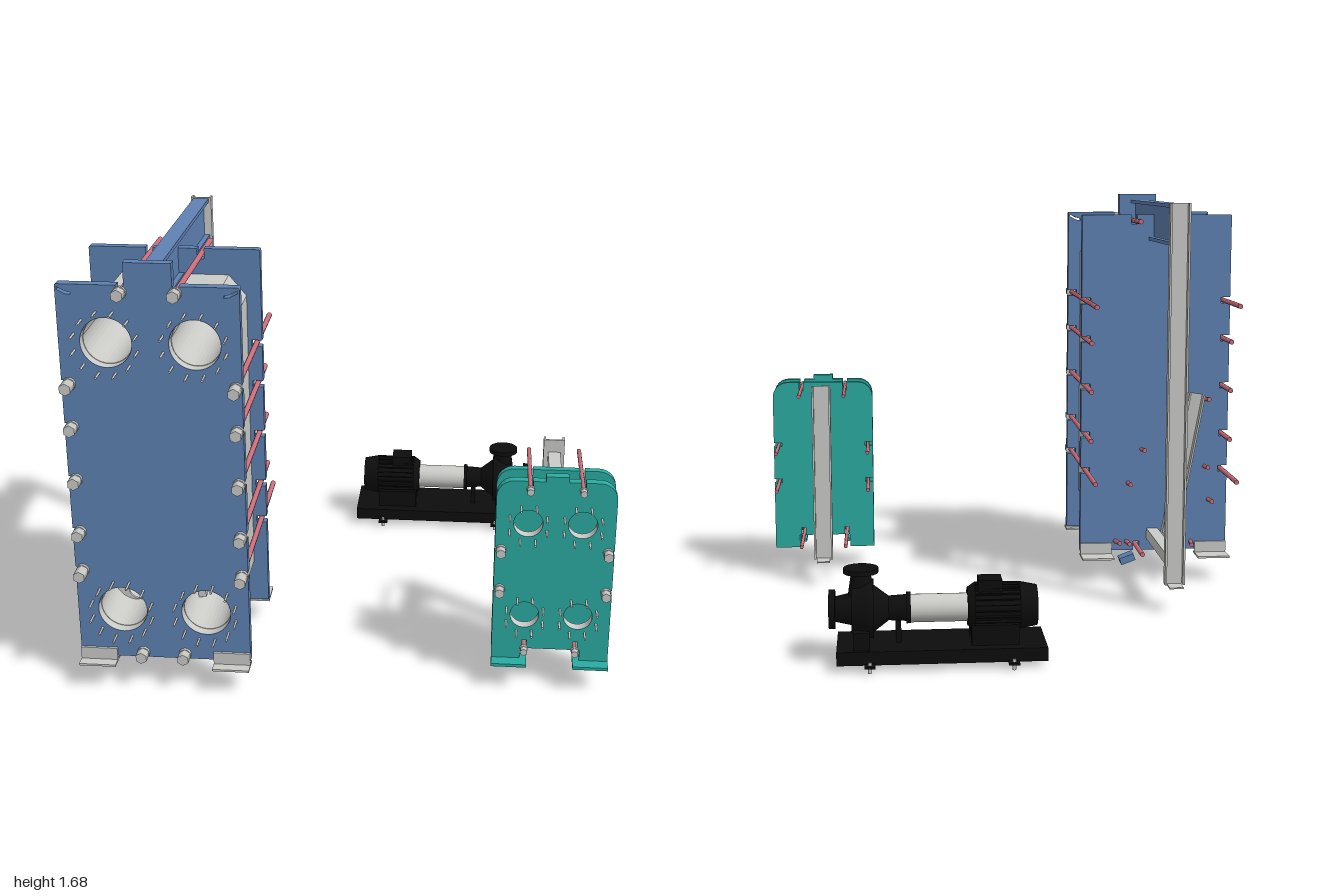
import * as THREE from 'three';

const mat = (name, color, side = THREE.FrontSide) => {
  const m = new THREE.MeshStandardMaterial({ color, side });
  m.name = name;
  return m;
};

export function createModel() {
  const root = new THREE.Group();
  root.name = 'heatExchangersAndPump';
  const blue = mat('blue paint', 0x5f82b4);
  const teal = mat('teal paint', 0x2aaca2);
  const gray = mat('light steel', 0xcbcbc8, THREE.DoubleSide);
  const red = mat('red tie rod', 0xcc6f7b);
  const black = mat('black cast iron', 0x0d0d0e);
  let group = root;

  const add = (name, geo, m, x = 0, y = 0, z = 0) => {
    const mesh = new THREE.Mesh(geo, m);
    mesh.name = name;
    mesh.position.set(x, y, z);
    group.add(mesh);
    return mesh;
  };
  const start = (name) => {
    group = new THREE.Group();
    group.name = name;
    root.add(group);
  };
  // box given by its limits on each axis
  const box = (name, m, x0, x1, y0, y1, z0, z1) =>
    add(name, new THREE.BoxGeometry(x1 - x0, y1 - y0, z1 - z0), m, (x0 + x1) / 2, (y0 + y1) / 2, (z0 + z1) / 2);
  const rodZ = (name, m, x, y, z0, z1, r, sides = 10) =>
    add(name, new THREE.CylinderGeometry(r, r, z1 - z0, sides).rotateX(Math.PI / 2), m, x, y, (z0 + z1) / 2);
  const rodX = (name, m, x0, x1, y, z, r0, r1 = r0, sides = 32) =>
    add(name, new THREE.CylinderGeometry(r1, r0, x1 - x0, sides).rotateZ(-Math.PI / 2), m, (x0 + x1) / 2, y, z);
  const extrude = (name, m, shape, z0, z1) =>
    add(name, new THREE.ExtrudeGeometry(shape, { depth: z1 - z0, bevelEnabled: false, curveSegments: 20 }), m, 0, 0, z0);
  const hole = (x, y, r) => new THREE.Path().absarc(x, y, r, 0, Math.PI * 2, true);

  // plate outline with open bolt slots along its edges
  const slotted = (x0, x1, y0, y1, sideYs, topXs, botXs, w, d, r) => {
    const p = [];
    const corner = (cx, cy, a) => {
      for (let i = 0; i <= 6; i++) {
        const t = a + (i / 6) * Math.PI / 2;
        p.push([cx + r * Math.cos(t), cy + r * Math.sin(t)]);
      }
    };
    p.push([x0, y0]);
    for (const x of botXs) p.push([x - w, y0], [x - w, y0 + d], [x + w, y0 + d], [x + w, y0]);
    p.push([x1, y0]);
    const ys = [...sideYs].sort((a, b) => a - b);
    for (const y of ys) p.push([x1, y - w], [x1 - d, y - w], [x1 - d, y + w], [x1, y + w]);
    corner(x1 - r, y1 - r, 0);
    for (const x of [...topXs].reverse()) p.push([x + w, y1], [x + w, y1 - d], [x - w, y1 - d], [x - w, y1]);
    corner(x0 + r, y1 - r, Math.PI / 2);
    for (const y of ys.reverse()) p.push([x0, y + w], [x0 + d, y + w], [x0 + d, y - w], [x0, y - w]);
    return new THREE.Shape(p.map(([x, y]) => new THREE.Vector2(x, y)));
  };
  // lined port with a ring of studs
  const port = (x, y, r, zBack, zFront, studR, count, zStud) => {
    add('portLiner', new THREE.CylinderGeometry(r, r, zFront - zBack, 32, 1, true).rotateX(Math.PI / 2), gray, x, y, (zBack + zFront) / 2);
    for (let i = 0; i < count; i++) {
      const a = ((i + 0.5) / count) * Math.PI * 2;
      rodZ('portStud', gray, x + studR * Math.cos(a), y + studR * Math.sin(a), zFront, zStud, 0.0045, 6);
    }
  };
  // rod, washer and hex nut
  const tie = (x, y, zBack, zPlate, zNut, r, nutR) => {
    rodZ('tieRod', red, x, y, zBack, zPlate + 0.015, r);
    rodZ('washer', gray, x, y, zPlate, zPlate + 0.012, nutR * 1.05, 16);
    rodZ('hexNut', gray, x, y, zPlate + 0.012, zNut, nutR, 6);
  };
  // channel column open to the back, with a foot
  const column = (x, w, y0, y1, z0, z1) => {
    box('columnWeb', gray, x - w / 2, x + w / 2, y0, y1, z1 - 0.008, z1);
    for (const s of [-1, 1]) {
      const c = x + s * (w / 2 - 0.004);
      box('columnFlange', gray, c - 0.004, c + 0.004, y0, y1, z0, z1 - 0.008);
    }
    box('columnFoot', gray, x - w * 0.35, x + w * 0.35, y0 - 0.006, y0, z0 - 0.04, z1);
  };

  // ---- Large heat exchanger ----
  start('largeHeatExchanger');
  const bigPorts = [[-0.83, 1.388], [-0.513, 1.388], [-0.83, 0.326], [-0.513, 0.326]];
  const bigYs = [1.23, 1.065, 0.857, 0.645, 0.487];
  const bigPlate = () => slotted(-1, -0.35, 0.125, 1.6, bigYs, [-0.77, -0.575], [-0.76, -0.6], 0.013, 0.04, 0.006);
  const front = bigPlate();
  bigPorts.forEach(([x, y]) => front.holes.push(hole(x, y, 0.093)));
  // curved lifting slots in the top corners
  for (const s of [-1, 1]) {
    const c = -0.675, pts = [[0.318, 1.58], [0.29, 1.565], [0.27, 1.562], [0.27, 1.57], [0.29, 1.575], [0.318, 1.59]];
    front.holes.push(new THREE.Path(pts.map(([x, y]) => new THREE.Vector2(c + s * x, y))));
  }
  extrude('frontFramePlate', blue, front, 0.812, 0.85);
  box('frontPlateTab', blue, -0.755, -0.585, 1.595, 1.682, 0.812, 0.85);
  extrude('pressurePlate', blue, bigPlate(), 0.33, 0.365);
  const pack = new THREE.Shape([[-0.87, 0.225], [-0.48, 0.225], [-0.405, 0.3], [-0.405, 1.42], [-0.47, 1.5], [-0.88, 1.5], [-0.945, 1.42], [-0.945, 0.3]]
    .map(([x, y]) => new THREE.Vector2(x, y)));
  bigPorts.forEach(([x, y]) => pack.holes.push(hole(x, y, 0.09)));
  extrude('platePack', gray, pack, 0.365, 0.812);
  bigPorts.forEach(([x, y]) => port(x, y, 0.092, 0.78, 0.85, 0.117, 12, 0.907));
  // loose gasket plate and fragment inside the lower ports
  const disc = new THREE.Shape().absarc(-0.83, 0.326, 0.089, 0, Math.PI * 2);
  disc.holes.push(hole(-0.82, 0.285, 0.045));
  extrude('innerPortPlate', gray, disc, 0.6, 0.61);
  box('innerFragment', gray, -0.59, -0.56, 0.27, 0.39, 0.6, 0.63).rotation.z = 0.12;

  bigYs.forEach((y, i) => {
    const long = i === 0 || i === 4;
    for (const x of [-0.972, -0.372]) tie(x, y, long ? 0.015 : 0.16, 0.85, long ? 0.915 : 0.9, 0.0105, 0.023);
  });
  for (const x of [-0.77, -0.575]) tie(x, 1.575, 0.16, 0.85, 0.9, 0.0105, 0.023);
  for (const x of [-0.76, -0.6]) tie(x, 0.145, 0.16, 0.85, 0.9, 0.0105, 0.023);

  // carrying beam, guide bar and column
  box('beamWeb', blue, -0.68, -0.66, 1.5, 1.645, -0.178, 0.812);
  for (const y of [1.49, 1.64]) box('beamFlange', blue, -0.701, -0.639, y, y + 0.015, -0.178, 0.812);
  box('guideBar', gray, -0.695, -0.645, 0.175, 0.222, -0.178, 0.812);
  column(-0.67, 0.082, 0.11, 1.66, -0.212, -0.178);

  // angle feet
  for (const [x0, x1] of [[-1, -0.86], [-0.49, -0.35]]) {
    box('frontFootWall', gray, x0, x1, 0.108, 0.16, 0.85, 0.86);
    box('frontFootSole', gray, x0, x1, 0.104, 0.112, 0.82, 0.9);
    box('rearFootWall', gray, x0, x1, 0.108, 0.16, 0.32, 0.33);
    box('rearFootSole', gray, x0, x1, 0.104, 0.112, 0.235, 0.345);
  }

  // leaning bar and loose pieces around the base
  const a = new THREE.Vector3(-0.73, 0.16, 0.285), b = new THREE.Vector3(-0.84, 0.84, 0.23);
  const lean = new THREE.Group();
  lean.name = 'leaningBar';
  lean.position.copy(a).lerp(b, 0.5);
  lean.quaternion.setFromUnitVectors(new THREE.Vector3(0, 1, 0), b.clone().sub(a).normalize());
  const outer = group;
  outer.add(lean);
  group = lean;
  box('leaningWeb', gray, -0.035, 0.035, -0.34, 0.34, 0.012, 0.02);
  for (const x of [-0.035, 0.027]) box('leaningFlange', gray, x, x + 0.008, -0.34, 0.34, -0.02, 0.012);
  group = outer;
  [[-0.92, 0.35], [-0.56, 0.43], [-0.9, 0.5], [-0.62, 0.58], [-0.9, 0.8]].forEach(([x, y], i) => {
    rodZ('looseRodEnd', red, x, y, 0.25, 0.36, 0.0095).rotation.x = 0.08 + 0.01 * i;
  });
  [-0.86, -0.8, -0.55, -0.49].forEach((x, i) => {
    const rod = rodZ('fallenRod', red, x, 0.155, 0.25, 0.68, 0.0095);
    rod.rotation.set(0.03 + i * 0.02, (i - 1.5) * 0.08, 0);
  });
  box('looseBlueBlock', blue, -0.91, -0.82, 0.075, 0.108, 0.665, 0.715).rotation.z = 0.2;
  box('looseBracket', blue, -0.58, -0.515, 0.09, 0.12, 0.24, 0.3).rotation.z = -0.35;
  box('looseChip', gray, -0.805, -0.775, 0.11, 0.165, 0.62, 0.68).rotation.z = 0.3;
  box('sideFragment', gray, -0.975, -0.945, 0.5, 0.58, 0.56, 0.66).rotation.set(0.5, 0.15, 0);
  box('sideFragment', gray, -0.98, -0.95, 0.36, 0.41, 0.6, 0.66).rotation.set(0.8, 0.1, 0);

  // ---- Small heat exchanger ----
  start('smallHeatExchanger');
  const smallPorts = [[0.677, 0.685], [0.877, 0.685], [0.677, 0.304], [0.877, 0.304]];
  const smallPlate = () => slotted(0.557, 0.998, 0.16, 0.855, [0.575, 0.41], [0.68, 0.872], [0.68, 0.872], 0.009, 0.035, 0.065);
  const face = smallPlate();
  smallPorts.forEach(([x, y]) => face.holes.push(hole(x, y, 0.054)));
  extrude('smallFramePlate', teal, face, 0.69, 0.725);
  extrude('smallPressurePlate', teal, smallPlate(), 0.588, 0.617);
  box('smallFrontTab', teal, 0.735, 0.82, 0.85, 0.875, 0.69, 0.725);
  smallPorts.forEach(([x, y]) => port(x, y, 0.0535, 0.685, 0.725, 0.074, 8, 0.775));
  for (const [x0, x1, n] of [[0.557, 0.665, 0.69], [0.89, 0.998, 0.865]]) {
    for (const [z0, z1] of [[0.69, 0.725], [0.588, 0.617]]) box('plateLeg', teal, x0, x1, 0.11, 0.162, z0, z1);
    box('footSole', teal, Math.min(x0, n), Math.max(x1, n), 0.104, 0.116, 0.69, 0.775);
    box('rearFootSole', teal, x0, x1, 0.104, 0.116, 0.588, 0.64);
  }
  for (const y of [0.575, 0.41]) for (const x of [0.58, 0.975]) tie(x, y, 0.355, 0.725, 0.768, 0.008, 0.019);
  for (const y of [0.825, 0.16]) for (const x of [0.68, 0.872]) tie(x, y, 0.355, 0.725, 0.76, 0.008, 0.014);
  box('upperBar', gray, 0.753, 0.8, 0.755, 0.82, 0.36, 0.69);
  box('lowerBar', gray, 0.753, 0.8, 0.17, 0.21, 0.36, 0.69);
  column(0.776, 0.08, 0.11, 0.87, 0.33, 0.366);

  // ---- Motor and pump ----
  start('pumpSet');
  const pz = -0.755, py = 0.2;
  box('baseTop', black, -0.075, 0.69, 0.06, 0.075, pz - 0.13, pz + 0.13);
  for (const s of [-1, 1]) box('baseRail', black, -0.075, 0.69, 0.025, 0.06, pz + s * 0.122 - 0.008, pz + s * 0.122 + 0.008);
  for (const x of [-0.075, 0.675]) box('baseEnd', black, x, x + 0.015, 0.025, 0.06, pz - 0.13, pz + 0.13);
  for (const x of [0.05, 0.57]) for (const s of [-1, 1]) {
    const z = pz + s * 0.145;
    box('anchorLug', black, x - 0.02, x + 0.02, 0.022, 0.03, z - 0.02, z + 0.02);
    add('anchorBolt', new THREE.CylinderGeometry(0.007, 0.007, 0.04, 8), gray, x, 0.02, z);
  }
  rodX('motorBody', black, -0.02, 0.2, py, pz, 0.078);
  rodX('fanCover', black, -0.045, 0.02, py, pz, 0.075, 0.088);
  rodX('motorEndBell', black, 0.185, 0.212, py, pz, 0.088, 0.07);
  for (let i = 0; i < 24; i++) {
    const fin = box('coolingFin', black, 0.02, 0.185, -0.002, 0.002, 0.074, 0.088);
    fin.geometry.translate(0, 0, 0.081);
    fin.position.set(0.1025, py, pz);
    fin.rotation.x = (i / 24) * Math.PI * 2;
  }
  box('terminalBox', black, 0.085, 0.172, 0.26, 0.307, pz - 0.045, pz + 0.045);
  for (const s of [-1, 1]) box('motorFoot', black, 0.025, 0.2, 0.075, 0.15, pz + s * 0.06 - 0.025, pz + s * 0.06 + 0.025);
  rodX('shaftGuard', gray, 0.21, 0.42, 0.197, pz, 0.052);
  rodX('bearingHousing', black, 0.42, 0.5, py, pz, 0.05, 0.045);
  rodX('bearingFlange', black, 0.42, 0.435, py, pz, 0.058);
  rodX('housingCone', black, 0.5, 0.56, py, pz, 0.045, 0.09);
  box('bearingFoot', black, 0.455, 0.475, 0.075, 0.17, pz - 0.025, pz + 0.025);
  rodX('voluteBack', black, 0.555, 0.575, py, pz, 0.108);
  rodX('volute', black, 0.575, 0.635, py, pz, 0.108, 0.09);
  rodX('inletNeck', black, 0.635, 0.7, py, pz, 0.06, 0.045);
  rodX('inletFlange', black, 0.695, 0.718, py, pz, 0.072);
  add('dischargeNeck', new THREE.CylinderGeometry(0.035, 0.05, 0.1, 24), black, 0.6, 0.29, pz);
  add('dischargeFlange', new THREE.CylinderGeometry(0.064, 0.064, 0.018, 32), black, 0.6, 0.345, pz);
  for (const s of [-1, 1]) box('pumpFoot', black, 0.57, 0.63, 0.075, 0.14, pz + s * 0.085 - 0.03, pz + s * 0.085 + 0.03);

  return root;
}
